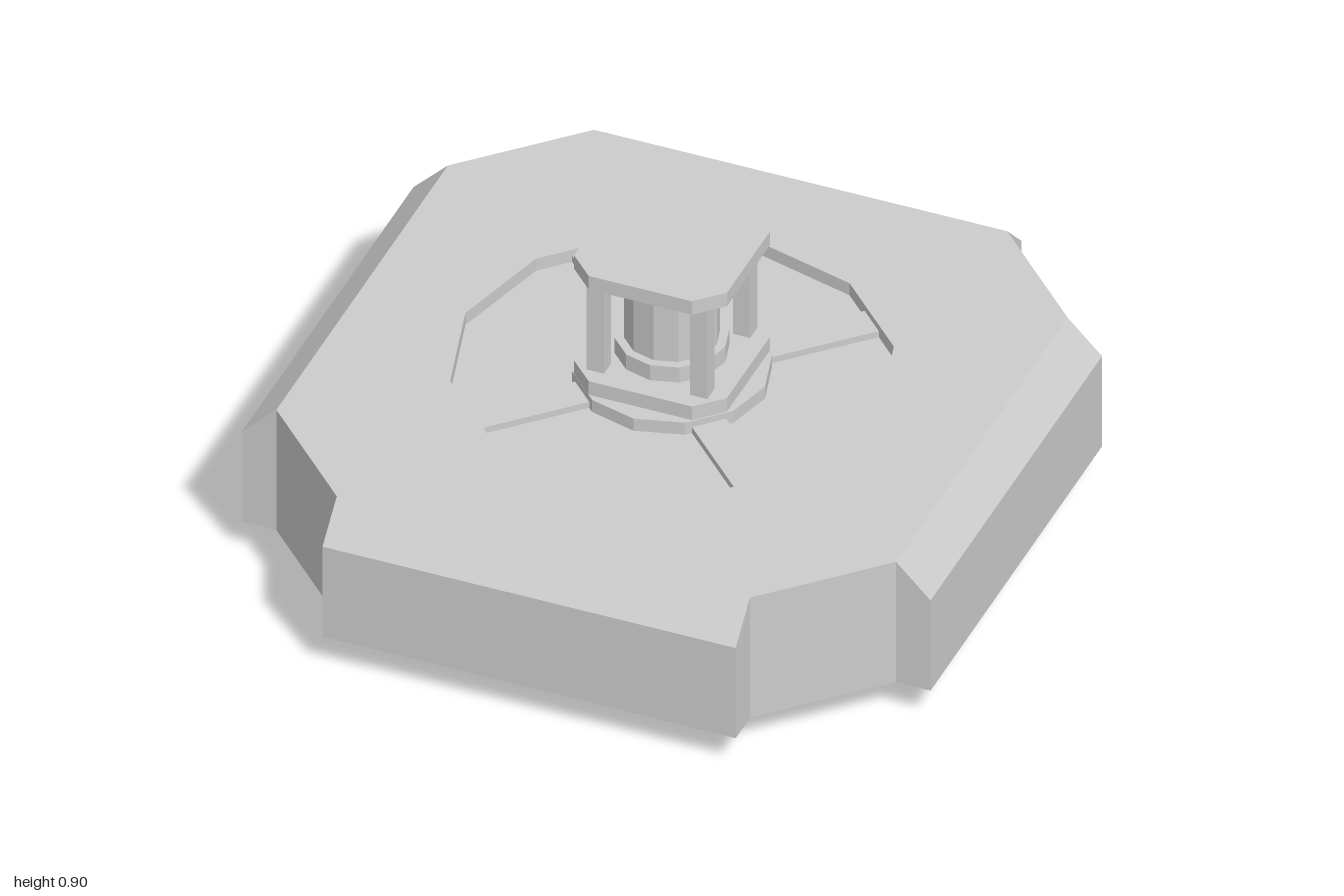
import * as THREE from 'three';

const material = new THREE.MeshStandardMaterial({ color: 0xcccccc, flatShading: true });

export function createModel() {
  const model = new THREE.Group();

  const add = (name, geometry, x = 0, y = 0, z = 0, turn = 0) => {
    const mesh = new THREE.Mesh(geometry, material);
    mesh.name = name;
    mesh.position.set(x, y, z);
    mesh.rotation.y = turn;
    model.add(mesh);
    return mesh;
  };

  // Corner points of a twelve-sided outline
  const dodecagon = (r) => Array.from({ length: 12 }, (_, i) => {
    const a = (i * Math.PI) / 6;
    return new THREE.Vector2(r * Math.cos(a), r * Math.sin(a));
  });

  // Corner points of a square with cut corners
  const cutSquare = (a, b) => [
    [a, -b], [a, b], [b, a], [-b, a], [-a, b], [-a, -b], [-b, -a], [b, -a],
  ].map(([x, y]) => new THREE.Vector2(x, y));

  // Flat slab standing on y = 0, with an optional twelve-sided hole
  const slab = (points, height, holeRadius = 0) => {
    const shape = new THREE.Shape(points);
    if (holeRadius) shape.holes.push(new THREE.Path(dodecagon(holeRadius).reverse()));
    return new THREE.ExtrudeGeometry(shape, { depth: height, bevelEnabled: false })
      .rotateX(-Math.PI / 2);
  };

  const drum = (r, height) => new THREE.CylinderGeometry(r, r, height, 12)
    .translate(0, height / 2, 0);

  // Main body and the ring beneath it
  add('body', slab(cutSquare(0.9, 0.6), 0.4, 0.6), 0, 0.1);
  add('bottomRing', slab(dodecagon(0.65), 0.1, 0.6));

  // Bevelled panels on the four sides
  const profile = new THREE.Shape([
    [0.9, 0.1], [1, 0.1], [1, 0.4], [0.9, 0.5],
  ].map(([x, y]) => new THREE.Vector2(x, y)));
  const panel = new THREE.ExtrudeGeometry(profile, { depth: 1.2, bevelEnabled: false })
    .translate(0, 0, -0.6);
  for (let i = 0; i < 4; i++) add('sidePanel', panel, 0, 0, 0, (i * Math.PI) / 2);

  // Recessed floor, hub and diagonal spokes
  add('recessFloor', drum(0.6, 0.01), 0, 0.45);
  add('hub', drum(0.27, 0.06), 0, 0.44);
  const spoke = new THREE.BoxGeometry(0.38, 0.04, 0.1).translate(0.39, 0, 0);
  for (let i = 0; i < 4; i++) {
    add('spoke', spoke, 0, 0.46, 0, Math.PI / 4 + (i * Math.PI) / 2);
  }

  // Tower: two plates, a collared column and four corner posts
  const plate = slab(cutSquare(0.222, 0.15), 0.045);
  add('lowerPlate', plate, 0, 0.505);
  add('upperPlate', plate, 0, 0.855);
  add('column', drum(0.13, 0.305), 0, 0.55);
  add('lowerCollar', drum(0.155, 0.05), 0, 0.55);
  add('upperCollar', drum(0.155, 0.025), 0, 0.83);
  const post = new THREE.BoxGeometry(0.05, 0.305, 0.05);
  for (const x of [-0.15, 0.15]) {
    for (const z of [-0.15, 0.15]) add('post', post, x, 0.7025, z);
  }

  return model;
}
